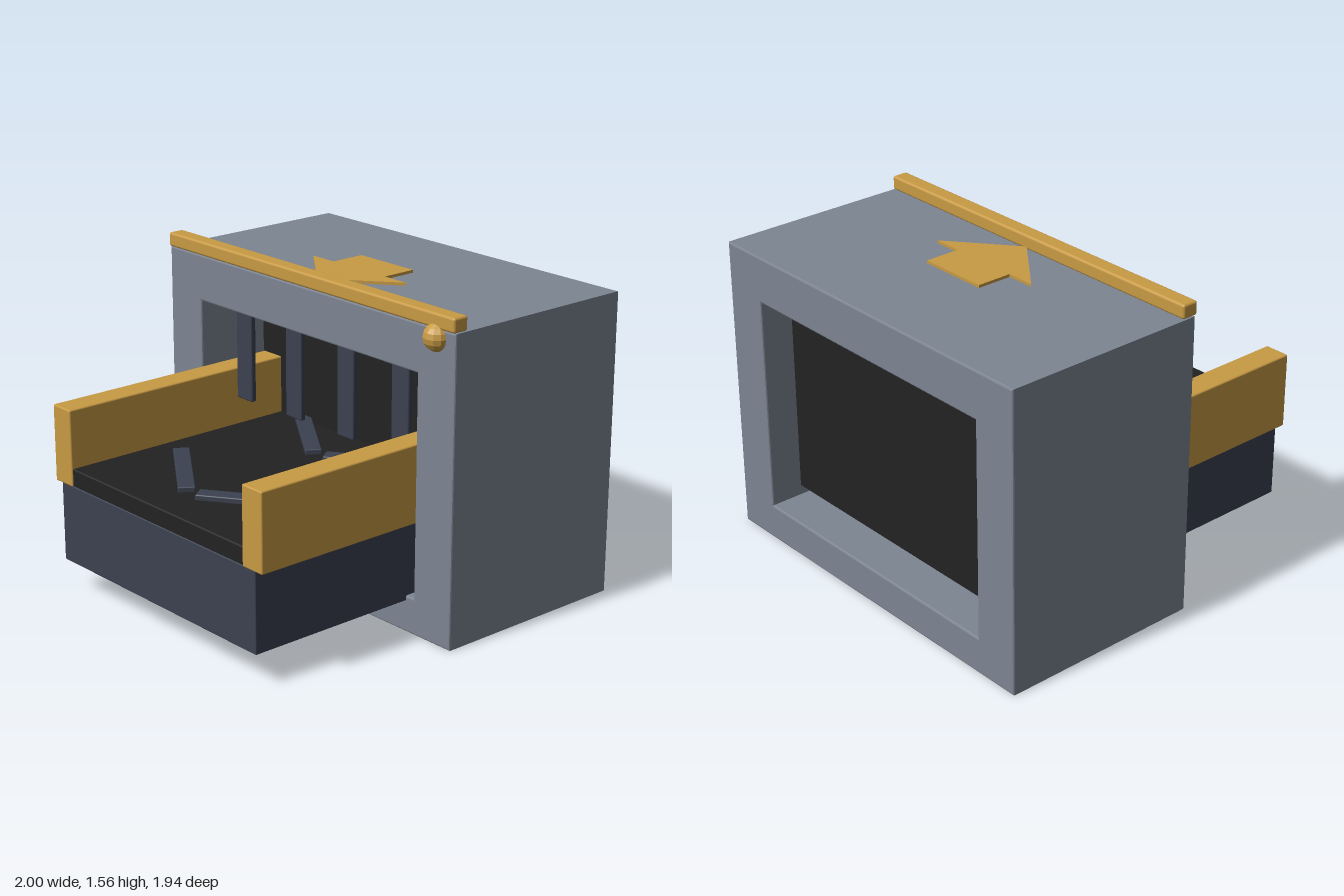
import * as THREE from 'three';
import { RoundedBoxGeometry } from 'three/addons/geometries/RoundedBoxGeometry.js';

const mat = (name, color) => {
  const m = new THREE.MeshStandardMaterial({ color });
  m.name = name;
  return m;
};

export function createModel() {
  const grey = mat('housingGrey', 0x7d8592);
  const navy = mat('darkSlate', 0x3b4150);
  const black = mat('beltBlack', 0x222222);
  const gold = mat('safetyYellow', 0xc89a44);
  const model = new THREE.Group();
  model.name = 'conveyorScanner';

  const add = (name, geometry, material, parent = model) => {
    const mesh = new THREE.Mesh(geometry, material);
    mesh.name = name;
    parent.add(mesh);
    return mesh;
  };

  // Box given by its limits on each axis, with slightly softened edges
  const box = (name, material, [x0, x1], [y0, y1], [z0, z1], r = 0.008) => {
    const g = new RoundedBoxGeometry(x1 - x0, y1 - y0, z1 - z0, 2, r);
    return add(name, g.translate((x0 + x1) / 2, (y0 + y1) / 2, (z0 + z1) / 2), material);
  };

  // Housing: a block with a rectangular tunnel through it
  const rect = (Type, x, y0, y1) => new Type([[-x, y0], [x, y0], [x, y1], [-x, y1]]
    .map(([px, py]) => new THREE.Vector2(px, py)));
  const frame = rect(THREE.Shape, 1, 0, 1.49);
  frame.holes.push(rect(THREE.Path, 0.765, 0.18, 1.26));
  const bevel = 0.008;
  const housing = new THREE.ExtrudeGeometry(frame, {
    depth: 1.045 - 2 * bevel, bevelThickness: bevel, bevelSize: bevel,
    bevelOffset: -bevel, bevelSegments: 2,
  });
  add('housing', housing.translate(0, 0, -0.97 + bevel), grey);

  // Dark core blocking the tunnel, raised above its floor
  add('tunnelCore', new THREE.BoxGeometry(1.53, 1.03, 0.48).translate(0, 0.745, -0.56), black);

  // Conveyor
  box('conveyorBase', navy, [-0.715, 0.715], [0.155, 0.55], [-0.75, 0.965], 0.005);
  box('belt', black, [-0.635, 0.635], [0.545, 0.635], [-0.75, 0.96]);
  for (const s of [-1, 1]) {
    const inner = 0.63 * s, outer = 0.763 * s;
    box(s < 0 ? 'rightRail' : 'leftRail', gold,
      [Math.min(inner, outer), Math.max(inner, outer)], [0.545, 0.925], [-0.5, 0.967]);
  }

  // Chevron markings along the belt
  for (const z of [0.59, -0.175]) {
    for (const s of [-1, 1]) {
      const bar = add('beltChevron', new RoundedBoxGeometry(0.535, 0.03, 0.08, 2, 0.006), navy);
      bar.position.set(0.258 * s, 0.646, z);
      bar.rotation.y = 0.612 * s;
    }
  }

  // Curtain strips hanging just inside the opening
  for (const x of [-0.555, -0.185, 0.185, 0.555]) {
    box('curtainStrip', navy, [x - 0.057, x + 0.057], [0.78, 1.27], [-0.05, -0.02]);
  }

  // Bar across the front top edge and the indicator lamp
  box('topBar', gold, [-1, 1], [1.492, 1.562], [0.002, 0.086], 0.012);
  const lampGold = gold.clone();
  lampGold.name = 'lampYellow';
  lampGold.flatShading = true;
  add('indicatorLamp', new THREE.SphereGeometry(0.066, 12, 8), lampGold)
    .position.set(0.877, 1.45, 0.066);

  // Direction arrow lying on the roof
  const arrow = new THREE.Shape([[0, 0.01], [0.325, 0.27], [0.18, 0.27], [0.18, 0.45],
    [-0.18, 0.45], [-0.18, 0.27], [-0.325, 0.27]].map(([x, y]) => new THREE.Vector2(x, y)));
  const plate = new THREE.ExtrudeGeometry(arrow, { depth: 0.014, bevelEnabled: false });
  add('directionArrow', plate.rotateX(-Math.PI / 2).translate(0, 1.501, 0), gold);

  return model;
}
